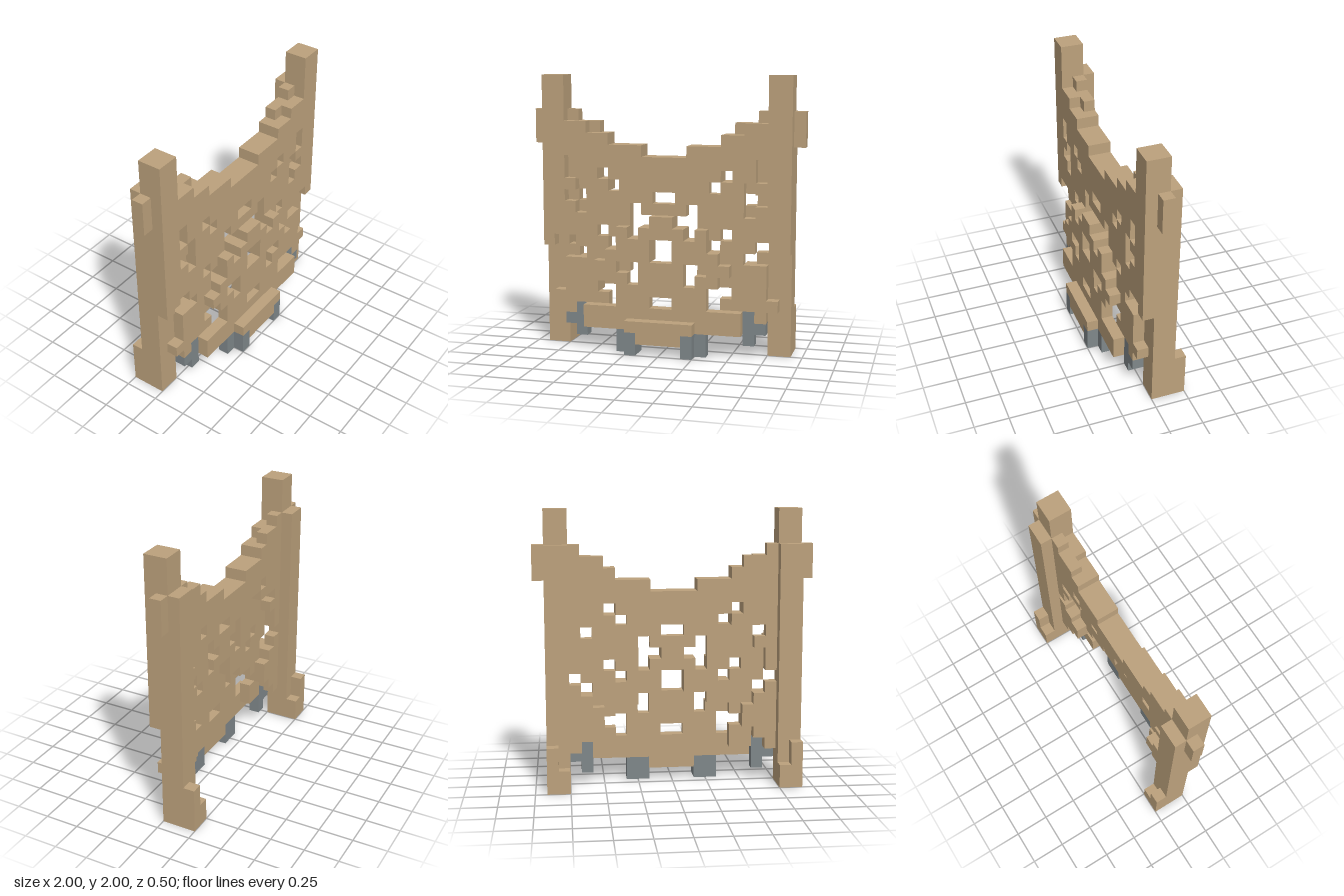
import * as THREE from 'three';
import { mergeGeometries } from 'three/addons/utils/BufferGeometryUtils.js';

const U = 1 / 12; // block size

// Parts are described in blocks on the +x half and mirrored.
const within = (v, a, b) => v >= a && v < b;
const box = (x0, x1, y0, y1) => (x, y) => within(x, x0, x1) && within(y, y0, y1);

// Two openings that touch corner to corner
const pair = (x, y, a, b) => (x === a && y === b) || (x === a - 1 && y === b - 1);

// Openings through every layer of the panel
const open = (x, y) =>
  pair(x, y, 5, 15) || pair(x, y, 5, 10) || pair(x, y, 8, 9) || pair(x, y, 5, 5) ||
  (x === 4 && y === 5) || (x === 7 && y === 13) || (x === 1 && y === 11) ||
  (x === 0 && (y === 4 || y === 13 || within(y, 8, 10))) ||
  (x === 2 && (within(y, 6, 8) || within(y, 10, 13)));

// Top edge of the panel, one block higher past each step
const topEdge = (x, ...steps) => 17 + steps.filter((s) => x >= s).length;

// Back layer: upper band, and a tapered brace beside each post
function panelBack(x, y) {
  if (x > 8 || open(x, y)) return false;
  const bottom = x < 5 ? 15 : x < 7 ? 14 : 26 - 2 * x;
  const brace = x > 5 && within(y, 11 - x, x + 1);
  return brace || within(y, bottom, topEdge(x, 2, 5, 6, 8));
}

// Middle layer: arched lower edge, zigzag recesses beside the posts
function panelMiddle(x, y) {
  if (x === 9) return y === 4;
  const recess = (within(y, 12, 16) && x === 7 + (y % 2)) || (x === 8 && (y === 8 || y === 16));
  if (x > 9 || recess || open(x, y)) return false;
  const bottom = x < 3 ? 8 : x < 5 ? 7 : x === 7 ? 4 : 3;
  return within(y, bottom, topEdge(x, 2, 5, 7));
}

// Front layer: ragged peak in the middle, low at the sides
function panelFront(x, y) {
  if (x > 6 || open(x, y) || (x === 3 && y === 7)) return false;
  const top = x === 3 ? 11 : x < 3 ? 12 - x : x === 4 ? 9 : 4;
  return within(y, x < 2 ? 1 : 2, top) || (x === 5 && y === 7);
}

// Outward faces of one block
const faces = [
  ['x', 1, 'rotateY', Math.PI / 2], ['x', -1, 'rotateY', -Math.PI / 2],
  ['y', 1, 'rotateX', -Math.PI / 2], ['y', -1, 'rotateX', Math.PI / 2],
  ['z', 1, 'rotateY', 0], ['z', -1, 'rotateY', Math.PI],
].map(([axis, sign, turn, angle]) => {
  const dir = new THREE.Vector3();
  dir[axis] = sign;
  const geo = new THREE.PlaneGeometry(U, U)[turn](angle);
  geo.translate(dir.x * U / 2, dir.y * U / 2, dir.z * U / 2);
  return { dir, geo };
});

export function createModel() {
  const group = new THREE.Group();
  const tan = new THREE.MeshStandardMaterial({ name: 'tan', color: 0xbca17c });
  const grey = new THREE.MeshStandardMaterial({ name: 'grey', color: 0x7f878a });
  const filled = new Set();
  const parts = [];

  // Fill one layer, one block deep, wherever the rule holds
  function layer(name, material, z, rule) {
    const cells = [];
    for (let y = 0; y < 24; y++)
      for (let x = 0; x < 12; x++)
        if (rule(x, y))
          for (const side of [x, -1 - x]) {
            cells.push(new THREE.Vector3(side, y, z));
            filled.add([side, y, z].join());
          }
    parts.push({ name, material, cells });
  }

  // side posts
  layer('postCore', tan, -1, box(9, 11, 0, 24));
  layer('postFront', tan, 0, (x, y) => within(x, 9, 11) && y >= 19 - x);
  layer('postBack', tan, -2, box(9, 11, 0, 21));
  layer('postFoot', tan, -3, (x, y) => within(x, 9, 11) && y < 2 * x - 16);
  layer('postEar', tan, -1, box(11, 12, 18, 21));

  // panel, stepping forward towards the bottom
  layer('panelBack', tan, -1, panelBack);
  layer('panelMiddle', tan, 0, panelMiddle);
  layer('panelFront', tan, 1, panelFront);
  layer('sill', tan, 2, (x, y) => x < 3 && within(y, x < 2 ? 1 : 2, 3));

  // grey fittings
  layer('innerFoot', grey, 1, box(2, 4, 0, 2));
  layer('innerFootFront', grey, 2, box(2, 3, 0, 2));
  layer('outerBracket', grey, 0, (x, y) => (x === 7 && within(y, 1, 4)) || (x === 8 && y === 2));

  // Skin each part, skipping faces buried against a neighbouring block
  for (const { name, material, cells } of parts) {
    const quads = [];
    for (const cell of cells)
      for (const { dir, geo } of faces)
        if (!filled.has(cell.clone().add(dir).toArray().join())) {
          const centre = cell.clone().addScalar(0.5).multiplyScalar(U);
          quads.push(geo.clone().translate(centre.x, centre.y, centre.z));
        }
    const mesh = new THREE.Mesh(mergeGeometries(quads), material);
    mesh.name = name;
    group.add(mesh);
  }
  return group;
}
